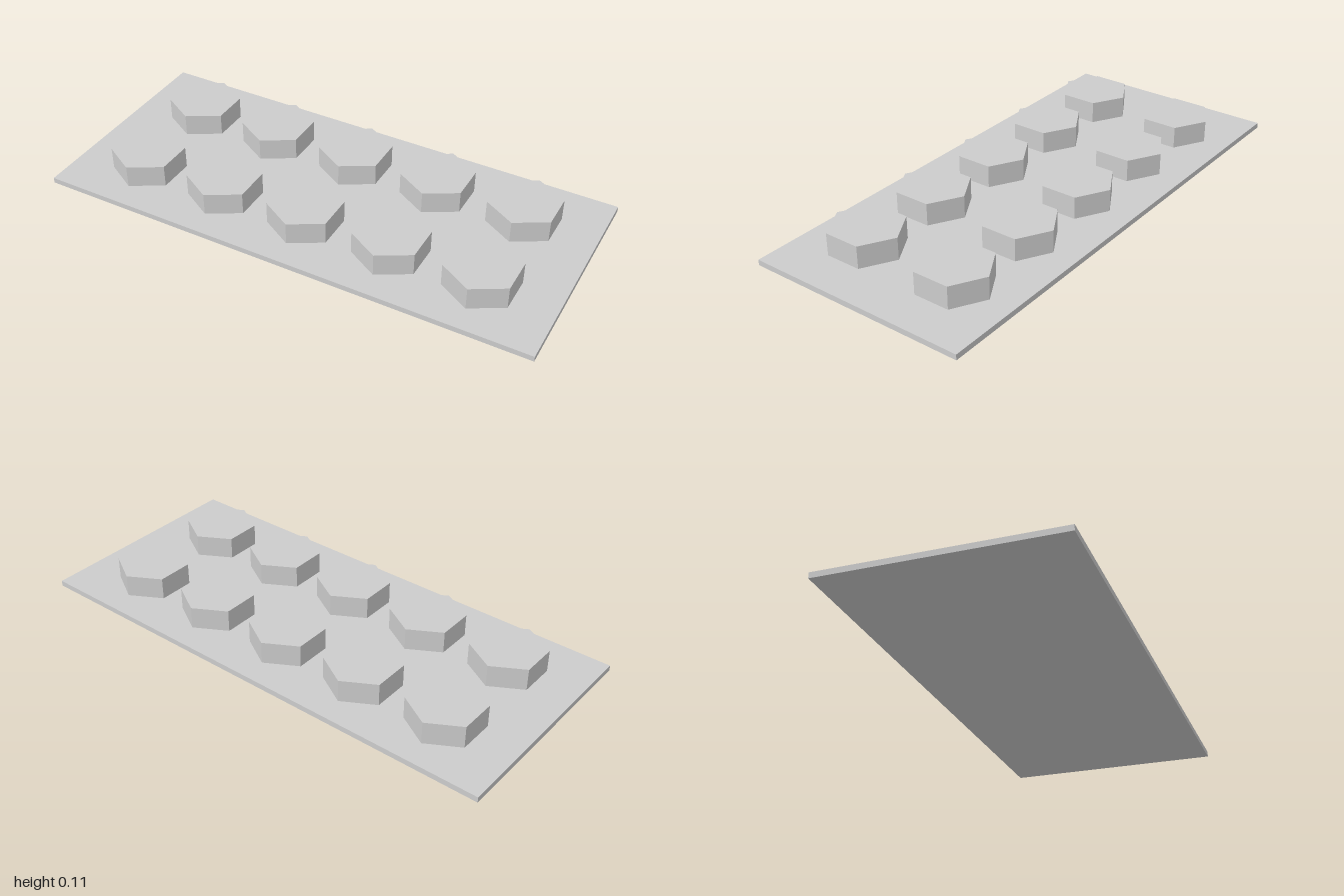
import * as THREE from 'three';

const PLATE = { width: 2, height: 0.022, depth: 0.889 };
const STUD = { radius: 0.1444, height: 0.089, columns: 5, rows: 2, stepX: 0.3556, stepZ: 0.4 };

export function createModel() {
  const model = new THREE.Group();
  model.name = 'studdedPlate';
  const material = new THREE.MeshStandardMaterial({ color: 0xcccccc, flatShading: true });

  // Thin base plate
  const plate = new THREE.Mesh(new THREE.BoxGeometry(PLATE.width, PLATE.height, PLATE.depth), material);
  plate.name = 'basePlate';
  plate.position.y = PLATE.height / 2;
  model.add(plate);

  // Grid of hexagonal studs, corners pointing to front and back
  const studs = new THREE.Group();
  studs.name = 'hexStuds';
  const studGeometry = new THREE.CylinderGeometry(STUD.radius, STUD.radius, STUD.height, 6);
  for (let row = 0; row < STUD.rows; row++) {
    for (let column = 0; column < STUD.columns; column++) {
      const stud = new THREE.Mesh(studGeometry, material);
      stud.name = `hexStud${row * STUD.columns + column + 1}`;
      stud.position.set(
        (column - (STUD.columns - 1) / 2) * STUD.stepX,
        PLATE.height + STUD.height / 2,
        (row - (STUD.rows - 1) / 2) * STUD.stepZ
      );
      studs.add(stud);
    }
  }
  model.add(studs);
  return model;
}
